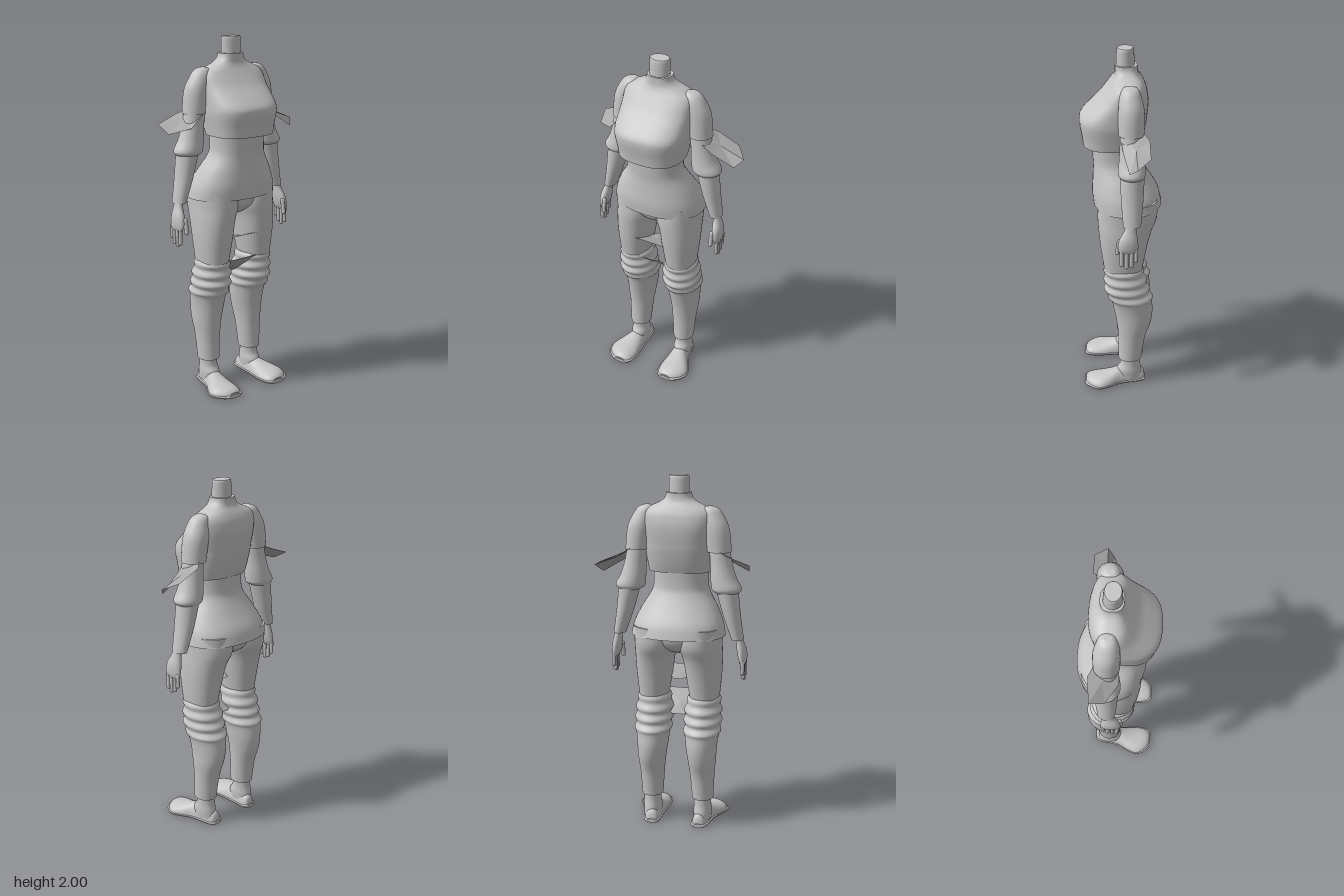
import * as THREE from 'three';

const CX = -0.035; // body centre line
const grey = new THREE.MeshStandardMaterial({ color: 0xc6c6c6 });
grey.name = 'light grey';
const greySheet = new THREE.MeshStandardMaterial({ color: 0xa8a8a8, side: THREE.DoubleSide });
greySheet.name = 'grey cloth';

// Smoothly resample a table of section values
function smooth(rows, steps) {
  const out = [];
  const at = i => rows[Math.max(0, Math.min(rows.length - 1, i))];
  for (let i = 0; i < rows.length - 1; i++) {
    for (let k = 0; k < steps; k++) {
      const t = k / steps;
      out.push(at(i).map((p1, c) => {
        const p0 = at(i - 1)[c], p2 = at(i + 1)[c], p3 = at(i + 2)[c];
        return p1 + 0.5 * t * (p2 - p0 + t * (2 * p0 - 5 * p1 + 4 * p2 - p3 + t * (3 * (p1 - p2) + p3 - p0)));
      }));
    }
  }
  out.push(rows[rows.length - 1]);
  return out;
}

// Skin closed rings of points, cap both ends, and turn faces outward
function skin(name, rings) {
  const n = rings[0].length, pos = [], idx = [];
  rings.forEach(r => r.forEach(p => pos.push(...p)));
  for (let i = 0; i < rings.length - 1; i++) {
    for (let j = 0; j < n; j++) {
      const a = i * n + j, b = i * n + (j + 1) % n;
      idx.push(a, a + n, b, b, a + n, b + n);
    }
  }
  [rings[0], rings[rings.length - 1]].forEach((r, e) => {
    const base = pos.length / 3;
    r.forEach(p => pos.push(...p));
    pos.push(...[0, 1, 2].map(c => r.reduce((s, p) => s + p[c], 0) / n));
    for (let j = 0; j < n; j++) {
      const a = base + j, b = base + (j + 1) % n;
      idx.push(...(e ? [a, base + n, b] : [a, b, base + n]));
    }
  });
  const v = i => new THREE.Vector3().fromArray(pos, idx[i] * 3);
  let volume = 0;
  for (let i = 0; i < idx.length; i += 3) volume += v(i).dot(v(i + 1).cross(v(i + 2)));
  if (volume < 0) idx.reverse();
  const g = new THREE.BufferGeometry();
  g.setAttribute('position', new THREE.Float32BufferAttribute(pos, 3));
  g.setIndex(idx);
  g.computeVertexNormals();
  const mesh = new THREE.Mesh(g, grey);
  mesh.name = name;
  return mesh;
}

// Upright loft; rows are [y, offset from centre line, half width, front z, back z]
function loft(name, rows, side = 1, power = 2, steps = 4, n = 40) {
  const bend = c => Math.sign(c) * Math.abs(c) ** (2 / power);
  return skin(name, smooth(rows, steps).map(([y, dx, w, zf, zb]) =>
    Array.from({ length: n }, (_, j) => {
      const a = (j / n) * Math.PI * 2;
      return [CX + side * dx + w * bend(Math.cos(a)), y, (zf + zb) / 2 + (zf - zb) / 2 * bend(Math.sin(a))];
    })));
}

// Lengthwise foot loft; rows are [z, offset, half width, height]
function footLoft(name, rows, side) {
  const n = 32;
  return skin(name, smooth(rows, 4).map(([z, dx, w, h]) =>
    Array.from({ length: n }, (_, j) => {
      const a = (j / n) * Math.PI * 2, s = Math.sin(a);
      return [CX + side * dx + w * Math.cos(a), s > 0 ? 0.012 + (h - 0.012) * s : 0.012 * (1 - Math.sqrt(-s)), z];
    })));
}

// Thin cloth sheet fanned around its middle
function sheet(name, pts) {
  const mid = [0, 1, 2].map(c => pts.reduce((s, p) => s + p[c], 0) / pts.length);
  const pos = [];
  pts.forEach((p, i) => pos.push(...mid, ...p, ...pts[(i + 1) % pts.length]));
  const g = new THREE.BufferGeometry();
  g.setAttribute('position', new THREE.Float32BufferAttribute(pos, 3));
  g.computeVertexNormals();
  const mesh = new THREE.Mesh(g, greySheet);
  mesh.name = name;
  return mesh;
}

function makeArm(side) {
  const arm = new THREE.Group();
  arm.name = side > 0 ? 'leftArm' : 'rightArm';
  // Short shoulder sleeve
  arm.add(loft('shoulderSleeve', [
    [1.842, 0.175, 0.015, -0.02, -0.06], [1.828, 0.178, 0.045, 0, -0.085], [1.79, 0.192, 0.06, 0.015, -0.1],
    [1.72, 0.213, 0.07, 0.022, -0.115], [1.6, 0.23, 0.066, 0.022, -0.115]], side));
  // Long sleeve with a puffed elbow cuff
  arm.add(loft('puffSleeve', [
    [1.64, 0.228, 0.056, 0.012, -0.1], [1.54, 0.24, 0.06, 0.015, -0.105], [1.46, 0.254, 0.071, 0.02, -0.115],
    [1.41, 0.27, 0.082, 0.026, -0.122], [1.39, 0.273, 0.08, 0.024, -0.12], [1.375, 0.276, 0.06, 0.01, -0.11]], side));
  arm.add(loft('forearmSleeve', [
    [1.39, 0.277, 0.061, 0.015, -0.115], [1.25, 0.305, 0.048, 0.01, -0.108], [1.12, 0.338, 0.034, 0, -0.095]], side));
  arm.add(loft('palm', [
    [1.14, 0.343, 0.02, -0.015, -0.068], [1.1, 0.351, 0.022, -0.005, -0.07], [1.05, 0.36, 0.027, 0.022, -0.078],
    [1.0, 0.366, 0.022, 0.03, -0.08], [0.975, 0.369, 0.012, 0.02, -0.074]], side));
  // Four fingers and a thumb
  [[-0.068, 0.925], [-0.043, 0.895], [-0.017, 0.885], [0.009, 0.9]].forEach(([z, tip]) => {
    const f = new THREE.Mesh(new THREE.CapsuleGeometry(0.0115, 1.0 - tip - 0.0115, 5, 10), grey);
    f.position.set(CX + side * 0.371, (1.0 + tip) / 2, z);
    f.name = 'finger';
    arm.add(f);
  });
  const thumb = new THREE.Mesh(new THREE.CapsuleGeometry(0.012, 0.07, 5, 10), grey);
  thumb.position.set(CX + side * 0.345, 1.0, 0.027);
  thumb.rotation.x = -0.15;
  thumb.name = 'thumb';
  arm.add(thumb);
  return arm;
}

function makeLeg(side) {
  const leg = new THREE.Group();
  leg.name = side > 0 ? 'leftLeg' : 'rightLeg';
  leg.add(loft('thigh', [
    [1.18, 0.125, 0.123, 0.13, -0.195], [1.08, 0.125, 0.12, 0.135, -0.195], [1.0, 0.137, 0.109, 0.13, -0.165],
    [0.9, 0.143, 0.1, 0.12, -0.14], [0.76, 0.148, 0.083, 0.1, -0.115]], side, 2.2));
  // Stocking with gathered rings at the knee
  leg.add(loft('stocking', [
    [0.772, 0.145, 0.086, 0.095, -0.115], [0.75, 0.145, 0.098, 0.105, -0.125], [0.722, 0.143, 0.094, 0.094, -0.125],
    [0.69, 0.143, 0.108, 0.105, -0.145], [0.662, 0.143, 0.098, 0.092, -0.14], [0.632, 0.143, 0.11, 0.104, -0.16],
    [0.604, 0.143, 0.099, 0.084, -0.155], [0.575, 0.143, 0.108, 0.08, -0.178], [0.55, 0.143, 0.097, 0.06, -0.173],
    [0.48, 0.143, 0.088, 0.044, -0.178], [0.4, 0.147, 0.08, 0.03, -0.167], [0.3, 0.148, 0.07, 0.02, -0.135],
    [0.16, 0.15, 0.061, 0.02, -0.115]], side));
  leg.add(loft('ankle', [
    [0.18, 0.15, 0.049, 0.005, -0.105], [0.12, 0.15, 0.049, 0.008, -0.107],
    [0.08, 0.15, 0.053, 0.03, -0.115], [0.03, 0.15, 0.05, 0.03, -0.12]], side));
  const foot = [
    [-0.135, 0.138, 0.018, 0.035], [-0.122, 0.14, 0.036, 0.07], [-0.08, 0.144, 0.046, 0.085], [-0.03, 0.148, 0.05, 0.095],
    [0.02, 0.155, 0.058, 0.09], [0.07, 0.167, 0.074, 0.075], [0.12, 0.175, 0.086, 0.063], [0.16, 0.172, 0.08, 0.056],
    [0.195, 0.163, 0.06, 0.045], [0.213, 0.158, 0.035, 0.03]];
  leg.add(footLoft('foot', foot, side));
  leg.add(footLoft('sole', foot.map(([z, dx, w]) => [z * 1.03, dx, w + 0.007, 0.022]), side));
  return leg;
}

export function createModel() {
  const model = new THREE.Group();
  model.name = 'figure';

  // Neck and cropped top
  model.add(loft('neck', [[1.86, 0, 0.056, 0.028, -0.075], [1.95, 0, 0.056, 0.026, -0.07], [1.99, 0, 0.056, 0.024, -0.067], [2, 0, 0.052, 0.02, -0.063]]));
  model.add(loft('croppedTop', [
    [1.48, 0, 0.181, 0.21, -0.105], [1.53, 0, 0.188, 0.216, -0.12], [1.6, 0, 0.199, 0.228, -0.135],
    [1.64, 0, 0.2, 0.22, -0.14], [1.69, 0, 0.2, 0.172, -0.145], [1.74, 0, 0.2, 0.12, -0.145],
    [1.79, 0, 0.198, 0.08, -0.135], [1.82, 0, 0.182, 0.058, -0.122], [1.84, 0, 0.145, 0.045, -0.11],
    [1.862, 0, 0.098, 0.036, -0.095], [1.885, 0, 0.074, 0.034, -0.088], [1.91, 0, 0.067, 0.034, -0.086]], 1, 2.6));

  // Waist piece flaring over the hips
  model.add(loft('waistTunic', [
    [1.5, 0, 0.155, 0.165, -0.1], [1.4, 0, 0.154, 0.158, -0.1], [1.35, 0, 0.17, 0.155, -0.115],
    [1.28, 0, 0.212, 0.158, -0.155], [1.2, 0, 0.249, 0.163, -0.205], [1.13, 0, 0.264, 0.157, -0.225]], 1, 2.25));
  model.add(loft('pelvis', [
    [1.16, 0, 0.2, 0.125, -0.19], [1.09, 0, 0.16, 0.115, -0.175], [1.05, 0, 0.1, 0.08, -0.13], [1.02, 0, 0.03, 0.03, -0.06]]));

  for (const side of [1, -1]) model.add(makeArm(side), makeLeg(side));

  // Loose cloth flaps at the elbows
  model.add(sheet('leftFlap', [
    [0.17, 1.62, 0.015], [0.28, 1.53, 0.0], [0.4, 1.46, -0.03], [0.44, 1.5, -0.07], [0.38, 1.535, -0.14], [0.25, 1.59, -0.14], [0.2, 1.62, -0.1]]));
  model.add(sheet('rightFlap', [
    [-0.23, 1.62, 0.015], [-0.33, 1.53, 0.02], [-0.43, 1.5, -0.05], [-0.445, 1.545, -0.13], [-0.32, 1.59, -0.14], [-0.25, 1.62, -0.1]]));
  // Stray cloth webs between the legs
  model.add(sheet('upperWeb', [
    [-0.145, 0.91, 0.11], [0.075, 0.91, 0.11], [0.02, 0.87, 0.0], [-0.01, 0.865, -0.05], [-0.06, 0.865, -0.05], [-0.09, 0.87, 0.0]]));
  model.add(sheet('lowerWeb', [
    [-0.13, 0.77, 0.09], [0.06, 0.77, 0.09], [0.05, 0.68, 0.0], [0.0, 0.655, -0.05], [-0.07, 0.655, -0.05], [-0.12, 0.68, 0.0]]));
  return model;
}
